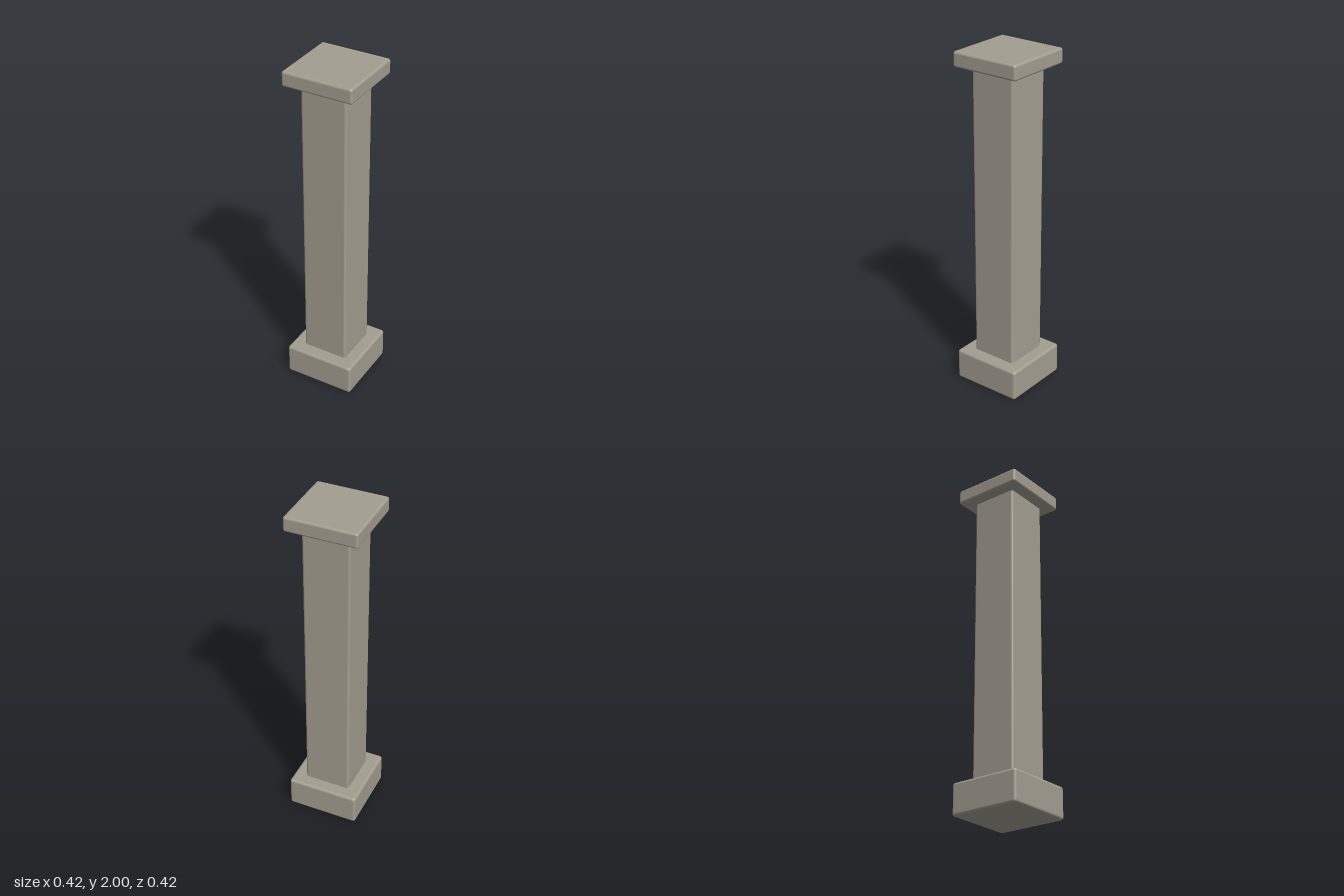
import * as THREE from 'three';
import { RoundedBoxGeometry } from 'three/addons/geometries/RoundedBoxGeometry.js';

export function createModel() {
  const group = new THREE.Group();
  group.name = 'pillar';
  const stone = new THREE.MeshStandardMaterial({ color: 0xa39d90 });
  stone.name = 'stone';

  // Square block with softened edges, spanning bottom to top
  function block(name, width, bottom, top, radius) {
    const geometry = new RoundedBoxGeometry(width, top - bottom, width, 4, radius);
    const mesh = new THREE.Mesh(geometry, stone);
    mesh.name = name;
    mesh.position.y = (bottom + top) / 2;
    group.add(mesh);
  }

  block('base', 0.424, 0, 0.185, 0.016);
  // The shaft ends are sunk into the base and the capital
  block('shaft', 0.274, 0.16, 1.94, 0.014);
  block('capital', 0.416, 1.912, 2, 0.014);

  return group;
}
